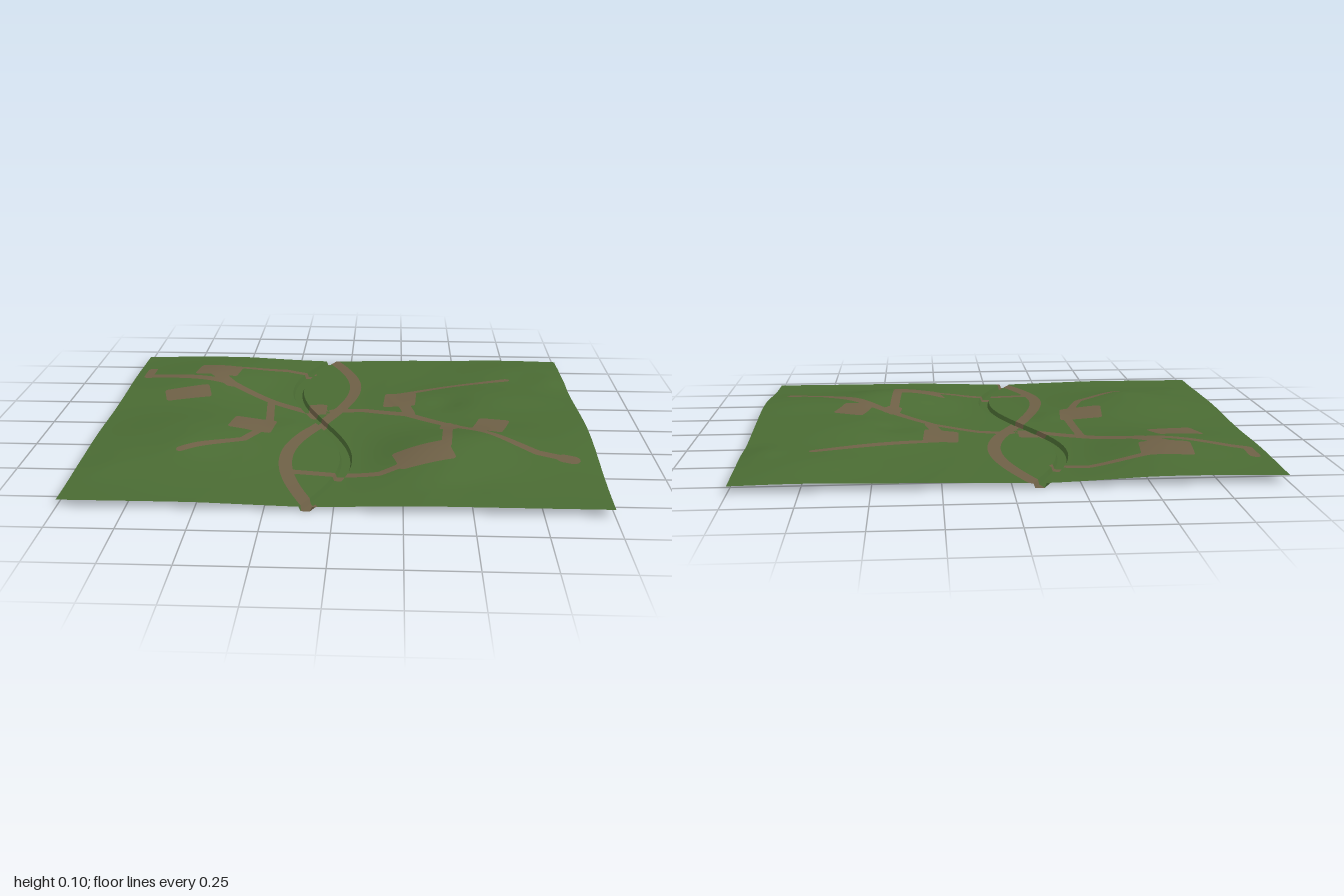
import * as THREE from 'three';

const DEPTH = 0.833, LIP = 0.024, FLOOR = 0.017;
const streamX = z => -0.098 + 0.126 * Math.sin(Math.PI * z / 0.83);
const roadX = z => -0.085 - 0.122 * Math.sin(Math.PI * z / 0.83);

// Footpaths: half width, then x, z pairs
const paths = [
  [0.022, [-0.94, -0.6, -0.94, -0.5, -0.88, -0.49, -0.53, -0.38, -0.32, -0.22, -0.13, -0.1]],
  [0.016, [-0.6, -0.59, -0.3, -0.66, -0.17, -0.62]],
  [0.03, [-0.61, -0.48, -0.53, -0.37]],
  [0.017, [-0.33, -0.2, -0.31, 0.05]],
  [0.017, [-0.34, 0.17, -0.39, 0.29, -0.62, 0.43]],
  [0.019, [-0.05, -0.13, 0.08, -0.13, 0.27, -0.05, 0.43, 0.1, 0.77, 0.41, 0.9, 0.46]],
  [0.025, [0.25, -0.2, 0.28, -0.06]],
  [0.016, [0.22, -0.3, 0.34, -0.34, 0.73, -0.48]],
  [0.02, [0.44, 0.1, 0.42, 0.4]],
  [0.018, [0.24, 0.52, 0.16, 0.56, -0.16, 0.54]],
  [0.03, [0.87, 0.45, 0.9, 0.46]],
];
// Bare yards: x, z, half width, half depth, turn
const yards = [
  [-0.61, -0.55, 0.1, 0.08, 0.1], [-0.71, -0.26, 0.1, 0.065, -0.25],
  [-0.375, 0.1, 0.09, 0.08, 0.1], [0.24, -0.235, 0.07, 0.085, 0.05],
  [0.61, 0.135, 0.065, 0.08, 0.3], [0.33, 0.455, 0.11, 0.075, -0.25],
  [-0.12, -0.15, 0.04, 0.06, 0], [0.44, 0.14, 0.035, 0.04, 0.2],
];
// Hills and hollows: x, z, radius in x, radius in z, height
const hills = [
  [0.4, 0.38, 0.3, 0.24, 0.06], [0.95, 0.2, 0.35, 0.36, 0.048],
  [0.6, -0.2, 0.32, 0.25, 0.046], [0.75, -0.62, 0.25, 0.18, 0.026],
  [-0.62, 0.25, 0.32, 0.3, 0.045], [-0.62, -0.48, 0.3, 0.27, 0.042],
  [0.55, 0.3, 0.12, 0.12, 0.01], [0.44, -0.15, 0.09, 0.09, -0.014],
  [0.92, -0.48, 0.09, 0.1, 0.014], [-0.6, 0.37, 0.11, 0.1, 0.01],
  [-0.21, 0.08, 0.07, 0.08, 0.012], [-0.88, 0.55, 0.1, 0.08, 0.006],
  [0.5, 0.66, 0.12, 0.07, -0.006],
];

function groundHeight(x, z) {
  let h = 0;
  for (const [cx, cz, rx, rz, a] of hills)
    h += a * Math.exp(-(((x - cx) / rx) ** 2) - ((z - cz) / rz) ** 2);
  const d = Math.abs(x - streamX(z));
  return 0.017 + 0.01 * Math.min(1, d / 0.4) + h * (1 - Math.exp(-((d / 0.17) ** 2)));
}

function segmentDistance(x, z, ax, az, bx, bz) {
  const dx = bx - ax, dz = bz - az;
  const t = THREE.MathUtils.clamp(((x - ax) * dx + (z - az) * dz) / (dx * dx + dz * dz), 0, 1);
  return Math.hypot(x - ax - t * dx, z - az - t * dz);
}

// Negative on bare earth, positive on grass
function earthDistance(x, z) {
  const slope = (roadX(z + 0.01) - roadX(z - 0.01)) / 0.02;
  let d = Math.abs(x - roadX(z)) / Math.hypot(1, slope) - 0.026;
  for (const [w, p] of paths)
    for (let i = 0; i + 3 < p.length; i += 2)
      d = Math.min(d, segmentDistance(x, z, p[i], p[i + 1], p[i + 2], p[i + 3]) - w);
  for (const [cx, cz, w, h, a] of yards) {
    const c = Math.cos(a), s = Math.sin(a), r = 0.015;
    const u = Math.abs((x - cx) * c + (z - cz) * s) - w + r;
    const v = Math.abs((z - cz) * c - (x - cx) * s) - h + r;
    d = Math.min(d, Math.hypot(Math.max(u, 0), Math.max(v, 0)) + Math.min(Math.max(u, v), 0) - r);
  }
  return d;
}

function groundNormal(x, z) {
  const e = 0.004;
  return [groundHeight(x - e, z) - groundHeight(x + e, z), 2 * e,
    groundHeight(x, z - e) - groundHeight(x, z + e)];
}

// Triangles sorted into grass and earth, cut along the edge of the earth
function addTriangle(tri, out) {
  for (const sign of [1, -1]) {
    const poly = [];
    for (let i = 0; i < 3; i++) {
      const a = tri[i], b = tri[(i + 1) % 3];
      if (a.d * sign >= 0) poly.push(a);
      if (a.d * b.d < 0) {
        const t = a.d / (a.d - b.d);
        const mix = k => a[k].map((v, j) => v + (b[k][j] - v) * t);
        poly.push({ p: mix('p'), n: mix('n'), d: 0 });
      }
    }
    const target = sign > 0 ? out.grass : out.earth;
    for (let i = 1; i + 1 < poly.length; i++)
      for (const v of [poly[0], poly[i], poly[i + 1]]) {
        target.p.push(...v.p);
        const l = Math.hypot(...v.n) || 1;
        target.n.push(v.n[0] / l, v.n[1] / l, v.n[2] / l);
      }
  }
}

// A strip of columns; place(u, z) gives a position and a normal
function buildSheet(columns, rows, place) {
  const out = { grass: { p: [], n: [] }, earth: { p: [], n: [] } };
  const grid = [];
  for (let j = 0; j <= rows; j++) {
    const z = -DEPTH + 2 * DEPTH * j / rows;
    grid.push([]);
    for (let i = 0; i <= columns; i++) {
      const { p, n } = place(i / columns, z);
      grid[j].push({ p, n, d: earthDistance(p[0], z) });
    }
  }
  for (let j = 0; j < rows; j++)
    for (let i = 0; i < columns; i++) {
      const a = grid[j][i], b = grid[j + 1][i], c = grid[j + 1][i + 1], d = grid[j][i + 1];
      addTriangle([a, b, c], out);
      addTriangle([a, c, d], out);
    }
  return out;
}

export function createModel() {
  const group = new THREE.Group();
  const materials = {
    grass: new THREE.MeshStandardMaterial({ color: 0x4a6b33, side: THREE.DoubleSide }),
    earth: new THREE.MeshStandardMaterial({ color: 0x6e6046, side: THREE.DoubleSide }),
  };
  materials.grass.name = 'grass green';
  materials.earth.name = 'earth brown';

  const addPart = (name, columns, rows, place) => {
    const sheet = buildSheet(columns, rows, place);
    const part = new THREE.Group();
    part.name = name;
    for (const key of ['grass', 'earth']) {
      if (!sheet[key].p.length) continue;
      const g = new THREE.BufferGeometry();
      g.setAttribute('position', new THREE.Float32BufferAttribute(sheet[key].p, 3));
      g.setAttribute('normal', new THREE.Float32BufferAttribute(sheet[key].n, 3));
      const mesh = new THREE.Mesh(g, materials[key]);
      mesh.name = name + (key === 'grass' ? 'Grass' : 'Earth');
      part.add(mesh);
    }
    group.add(part);
  };

  // Land on either side of the stream bed
  for (const [name, side, columns] of [['rightLand', -1, 90], ['leftLand', 1, 105]])
    addPart(name, columns, 150, (u, z) => {
      const lip = streamX(z) + side * LIP;
      const x = side < 0 ? -1 + u * (lip + 1) : lip + u * (1 - lip);
      return { p: [x, groundHeight(x, z), z], n: groundNormal(x, z) };
    });

  // Steep banks down to the stream bed
  for (const [name, side] of [['rightBank', -1], ['leftBank', 1]])
    addPart(name, 1, 150, (u, z) => {
      const k = side < 0 ? u : 1 - u;
      const x = streamX(z) + side * (LIP + (FLOOR - LIP) * k);
      const top = groundHeight(streamX(z) + side * LIP, z);
      const slope = (streamX(z + 0.01) - streamX(z - 0.01)) / 0.02;
      return { p: [x, top * (1 - k), z], n: [-side * 0.9, 0.4, side * slope * 0.9] };
    });

  // Flat stream bed
  addPart('streamBed', 4, 150, (u, z) => (
    { p: [streamX(z) + FLOOR * (2 * u - 1), 0, z], n: [0, 1, 0] }));

  return group;
}
